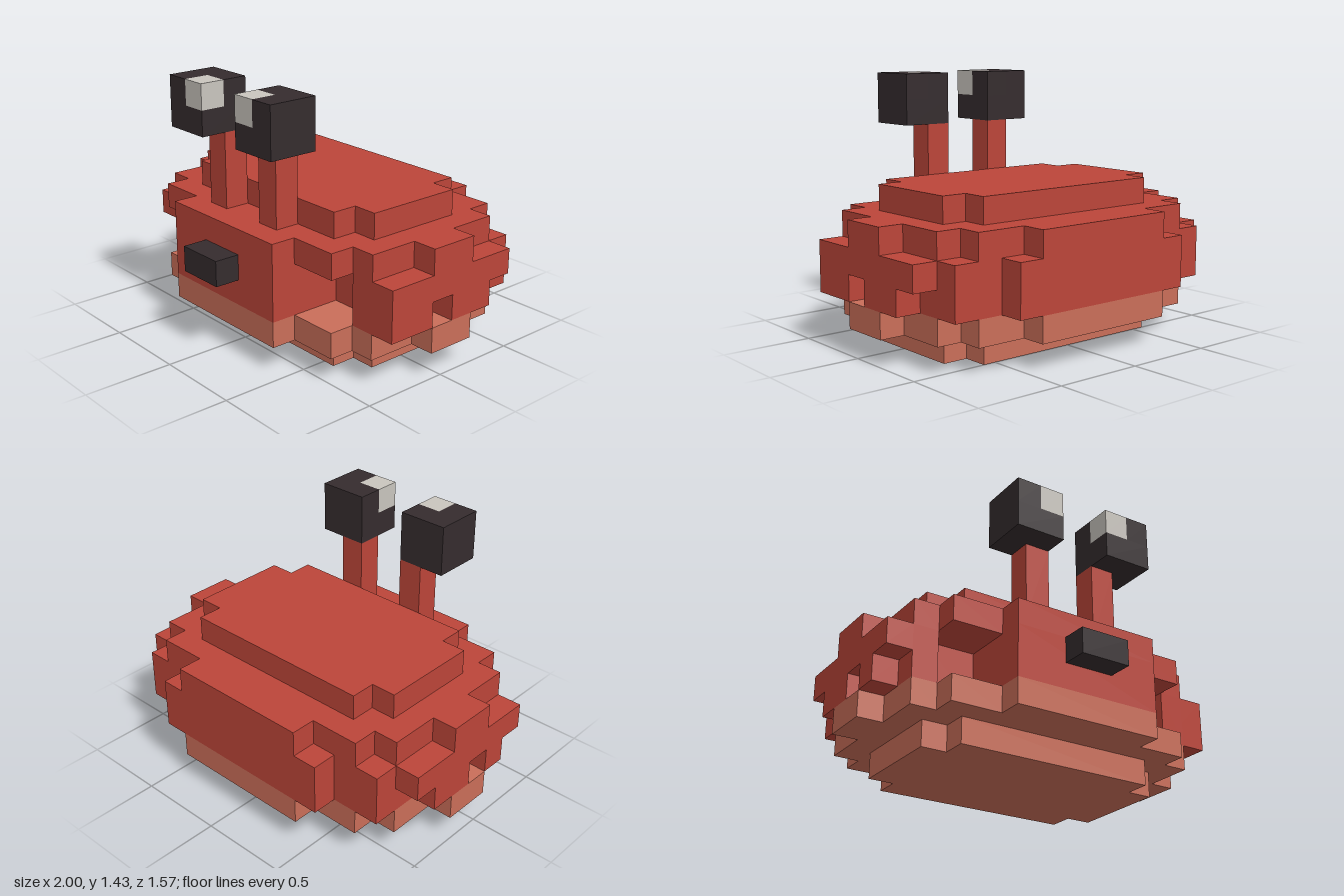
import * as THREE from 'three';

const U = 1 / 7; // edge of one block

const mats = {};
for (const [name, color] of [['shellRed', 0xbc4539], ['bellySalmon', 0xca6e59], ['darkBrown', 0x352c2e], ['eyeWhite', 0xc9c5be]]) {
  mats[name] = new THREE.MeshStandardMaterial({ color });
  mats[name].name = name;
}

// Half outlines in blocks, [x, z] from the front round to the back on the left side
const DISC = [[4, 2.5], [4, 1.5], [5, 1.5], [5, -2.5], [4, -2.5], [4, -3.5]];
const WIDE = [[3, 4.5], [3, 3.5], [5, 3.5], [5, 2.5], [6, 2.5], [6, 0.5], [7, 0.5], [7, -1.5],
  [6, -1.5], [6, -3.5], [5, -3.5], [5, -4.5], [3, -4.5], [3, -5.5]];
const MIDDLE = [[3, 4.5], [3, 1.5], [5, 1.5], [5, 2.5], [6, 2.5], [6, -4.5], [4, -4.5], [4, -5.5]];

// Mirrors a half outline and extrudes it from y0 to y1
function slab(group, name, half, y0, y1, mat) {
  const pts = [...half, ...half.map(([x, z]) => [-x, z]).reverse()];
  const shape = new THREE.Shape(pts.map(([x, z]) => new THREE.Vector2(x * U, -z * U)));
  const geo = new THREE.ExtrudeGeometry(shape, { depth: (y1 - y0) * U, bevelEnabled: false });
  geo.rotateX(-Math.PI / 2).translate(0, y0 * U, 0);
  const mesh = new THREE.Mesh(geo, mat);
  mesh.name = name;
  group.add(mesh);
}

// Box between block coordinates; side -1 mirrors it in x
function block(group, name, [x0, x1], [y0, y1], [z0, z1], mat, side = 1) {
  const mesh = new THREE.Mesh(new THREE.BoxGeometry((x1 - x0) * U, (y1 - y0) * U, (z1 - z0) * U), mat);
  mesh.position.set(side * (x0 + x1) / 2 * U, (y0 + y1) / 2 * U, (z0 + z1) / 2 * U);
  mesh.name = name;
  group.add(mesh);
}

export function createModel() {
  const model = new THREE.Group();
  model.name = 'blockCreature';
  const { shellRed, bellySalmon, darkBrown, eyeWhite } = mats;

  // Stacked body layers
  slab(model, 'foot', DISC, 0, 1, bellySalmon);
  slab(model, 'belly', WIDE, 1, 2, bellySalmon);
  slab(model, 'shellWall', MIDDLE, 2, 4, shellRed);
  slab(model, 'shellRim', WIDE, 4, 5, shellRed);
  slab(model, 'shellCap', DISC, 5, 6, shellRed);

  block(model, 'nose', [-1, 1], [3, 4], [4.5, 5.5], darkBrown);

  for (const side of [1, -1]) {
    const label = side > 0 ? 'left' : 'right';

    // Side ridge with uneven drips hanging below it
    block(model, label + 'Ridge', [6, 7], [3, 4], [-3.5, 2.5], shellRed, side);
    block(model, label + 'BackDrip', [6, 7], [2, 3], [-2.5, -0.5], shellRed, side);
    block(model, label + 'FrontDrip', [6, 7], [2, 3], [0.5, side > 0 ? 2.5 : 1.5], shellRed, side);

    // Eye on a stalk, with a pale inner corner
    block(model, label + 'EyeStalk', [1, 2], [5, 8], [2.5, 3.5], shellRed, side);
    const eye = new THREE.Group();
    eye.name = label + 'Eye';
    block(eye, 'eyeLower', [1, 3], [8, 9], [2.5, 4.5], darkBrown, side);
    block(eye, 'eyeUpperOuter', [2, 3], [9, 10], [2.5, 4.5], darkBrown, side);
    block(eye, 'eyeUpperBack', [1, 2], [9, 10], [2.5, 3.5], darkBrown, side);
    block(eye, 'eyeHighlight', [1, 2], [9, 10], [3.5, 4.5], eyeWhite, side);
    model.add(eye);
  }
  return model;
}
